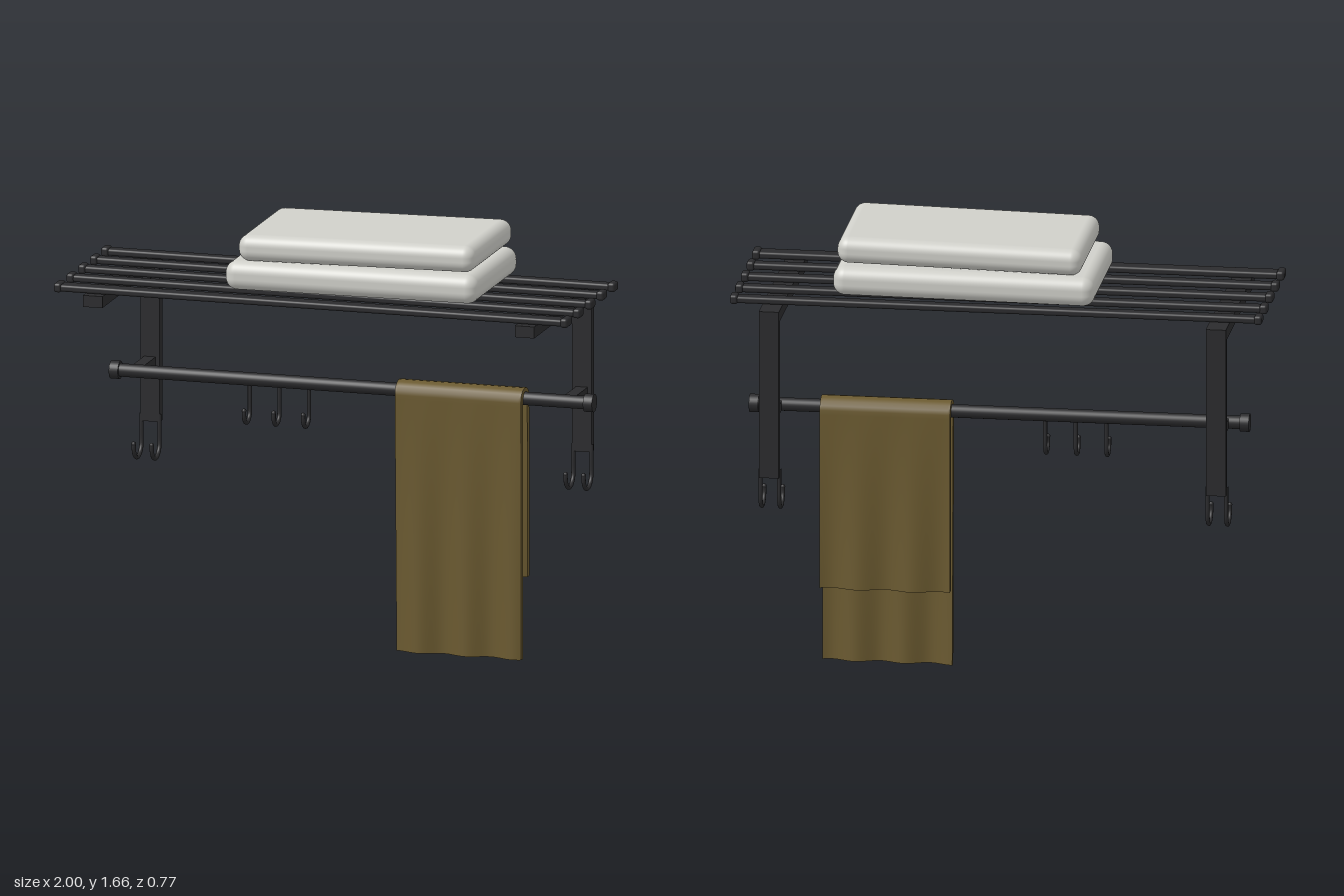
import * as THREE from 'three';
import { RoundedBoxGeometry } from 'three/addons/geometries/RoundedBoxGeometry.js';

function material(name, color) {
  const m = new THREE.MeshStandardMaterial({ color });
  m.name = name;
  return m;
}

export function createModel() {
  const root = new THREE.Group();
  root.name = 'towelShelf';
  const black = material('blackMetal', 0x2b2b2d);
  const white = material('whiteTowel', 0xd0d0ca);
  const olive = material('oliveTowel', 0x6b5a30);

  function add(name, geometry, mat, x, y, z) {
    const mesh = new THREE.Mesh(geometry, mat);
    mesh.name = name;
    mesh.position.set(x, y, z);
    root.add(mesh);
    return mesh;
  }
  const box = (name, w, h, d, x, y, z) =>
    add(name, new THREE.BoxGeometry(w, h, d), black, x, y, z);

  // J-shaped hook: straight shank, half circle towards the front, short tip
  function hook(name, x, top, z, bendY, radius, tipY) {
    const pts = [new THREE.Vector3(0, top, z), new THREE.Vector3(0, (top + bendY) / 2, z)];
    for (let i = 0; i <= 8; i++) {
      const a = Math.PI * (1 + i / 8);
      pts.push(new THREE.Vector3(0, bendY + radius * Math.sin(a), z + radius + radius * Math.cos(a)));
    }
    const tip = new THREE.Vector3(0, tipY, z + 2 * radius);
    pts.push(tip);
    const curve = new THREE.CatmullRomCurve3(pts);
    add(name, new THREE.TubeGeometry(curve, 36, 0.008, 10), black, x, 0, 0);
    add(name + 'Tip', new THREE.SphereGeometry(0.009, 12, 8), black, x, tip.y, tip.z);
  }

  // Wall brackets, one per side
  for (const s of [-1, 1]) {
    const x = s * 0.84;
    box('wallPlate', 0.075, 0.645, 0.036, x, 1.0825, -0.364);
    box('shelfArm', 0.075, 0.044, 0.767, x, 1.383, 0.0015);
    box('railArm', 0.045, 0.036, 0.17, x, 0.99, -0.265);
    const screw = add('screwHead', new THREE.CylinderGeometry(0.02, 0.02, 0.053, 20), black, x, 1.33, -0.322);
    screw.rotation.x = Math.PI / 2;
    for (const o of [-0.035, 0.035]) hook('bracketHook', x + o, 0.79, -0.354, 0.681, 0.05, 0.692);
  }

  // Shelf slats with end caps; the front one is wider
  [0.33, 0.175, 0.025, -0.125, -0.268].forEach((z, i) => {
    const d = i === 0 ? 0.062 : 0.047;
    add('slat', new RoundedBoxGeometry(1.96, 0.026, d, 3, 0.009), black, 0, 1.419, z);
    for (const s of [-1, 1])
      add('slatCap', new RoundedBoxGeometry(0.03, 0.035, d + 0.007, 3, 0.01), black, s * 0.985, 1.42, z);
  });

  // Hanging rail, end caps and small hooks
  const rail = add('rail', new THREE.CylinderGeometry(0.025, 0.025, 1.84, 28), black, 0, 0.99, -0.18);
  rail.rotation.z = Math.PI / 2;
  for (const s of [-1, 1]) {
    const cap = add('railCap', new THREE.CylinderGeometry(0.034, 0.034, 0.035, 28), black, s * 0.922, 0.99, -0.18);
    cap.rotation.z = Math.PI / 2;
  }
  for (const x of [-0.4, -0.285, -0.17]) hook('railHook', x, 0.98, -0.178, 0.87, 0.037, 0.885);

  // Folded towels lying on the shelf
  const lower = add('lowerFoldedTowel', new RoundedBoxGeometry(0.983, 0.11, 0.557, 6, 0.045), white, 0.127, 1.493, 0.003);
  lower.rotation.z = 0.008;
  const upper = add('upperFoldedTowel', new RoundedBoxGeometry(0.92, 0.1, 0.525, 6, 0.042), white, 0.145, 1.603, 0.011);
  upper.rotation.z = 0.017;

  // Draped towel: a slab bent over the rail, rippling towards its hems
  const frontLen = 0.99, backLen = 0.69, arcLen = 0.12;
  const total = frontLen + arcLen + backLen;
  const cloth = new THREE.BoxGeometry(0.49, total, 0.026, 48, 110, 1);
  const p = cloth.attributes.position;
  for (let i = 0; i < p.count; i++) {
    const x = p.getX(i), s = p.getY(i) + total / 2, off = p.getZ(i);
    let y, z;
    if (s < frontLen) {
      const k = 1 - s / frontLen;
      y = s;
      z = -0.138 + off - 0.01 * k + 0.013 * k * Math.sin(x * 34 + 0.6);
    } else if (s < frontLen + arcLen) {
      const a = Math.PI * (s - frontLen) / arcLen;
      y = 0.99 + (0.028 + off) * Math.sin(a);
      z = -0.179 + (0.041 + off) * Math.cos(a);
    } else {
      const t = s - frontLen - arcLen, k = t / backLen;
      y = 0.99 - t;
      z = -0.22 - off - 0.009 * k + 0.012 * k * Math.sin(x * 31 + 1.6);
    }
    p.setXYZ(i, x, y, z);
  }
  cloth.computeVertexNormals();
  add('drapedTowel', cloth, olive, 0.425, 0, 0);

  return root;
}
